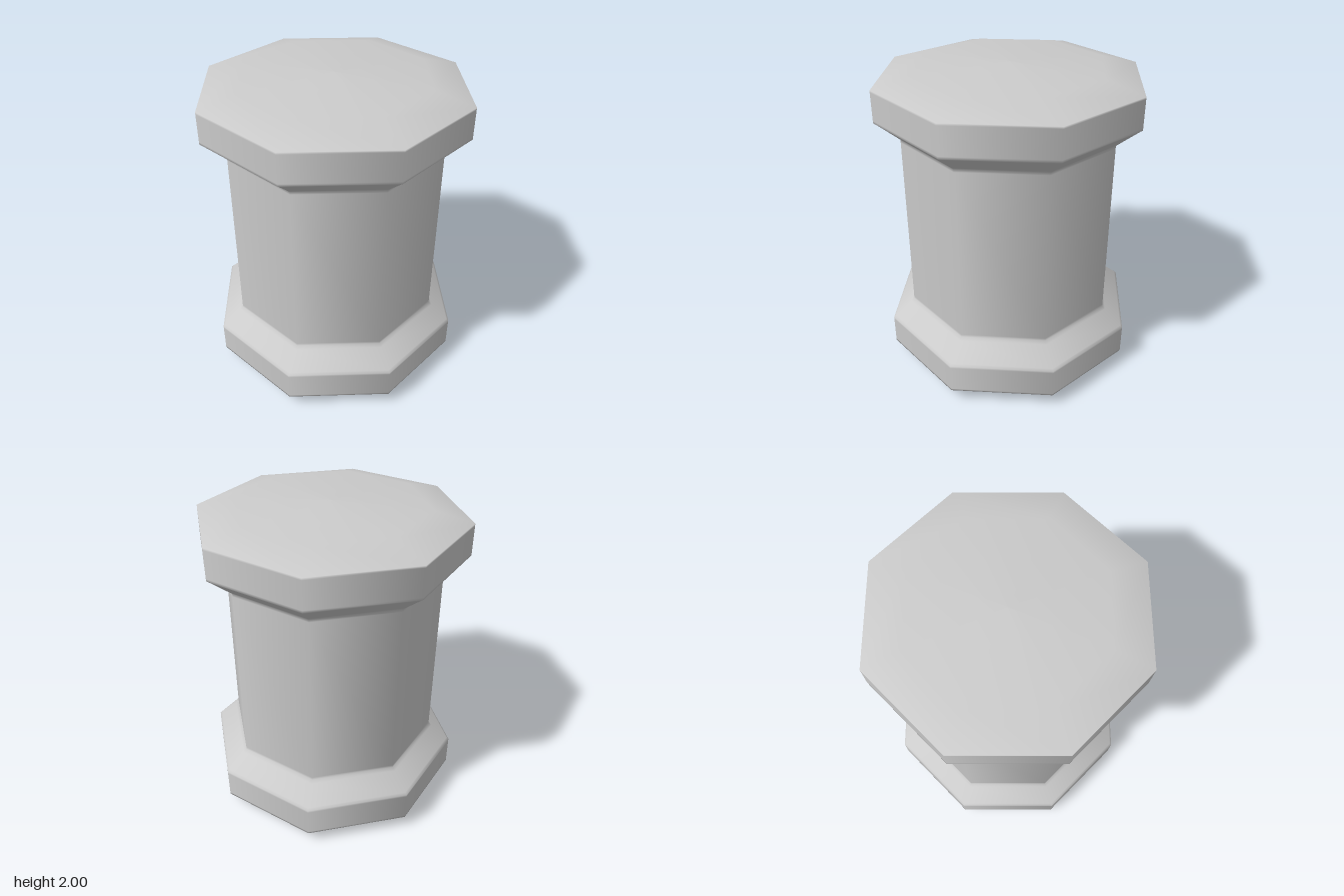
import * as THREE from 'three';

// Upper half of the spool profile [radius, height above the middle], middle to top.
// Points close to each corner keep the smooth shading tight there.
const upperHalf = [
  [0.69, 0.57], [0.69, 0.588], [0.71, 0.605],   // barrel into the flare
  [0.825, 0.702], [0.84, 0.713], [0.84, 0.728], // flare into the rim
  [0.84, 0.9], [0.84, 0.913],                   // rim
  [0.6, 0.978], [0, 1],                         // shallow domed cap
];

export function createModel() {
  const group = new THREE.Group();
  group.name = 'spool';

  // Lower half mirrors the upper half
  const profile = [
    ...[...upperHalf].reverse().map(([r, h]) => new THREE.Vector2(r, 1 - h)),
    ...upperHalf.map(([r, h]) => new THREE.Vector2(r, 1 + h)),
  ];

  // Eight-sided body with smooth normals, corners on the axes
  const body = new THREE.Mesh(
    new THREE.LatheGeometry(profile, 8),
    new THREE.MeshStandardMaterial({ color: 0xcccccc })
  );
  body.name = 'spoolBody';
  group.add(body);
  return group;
}
